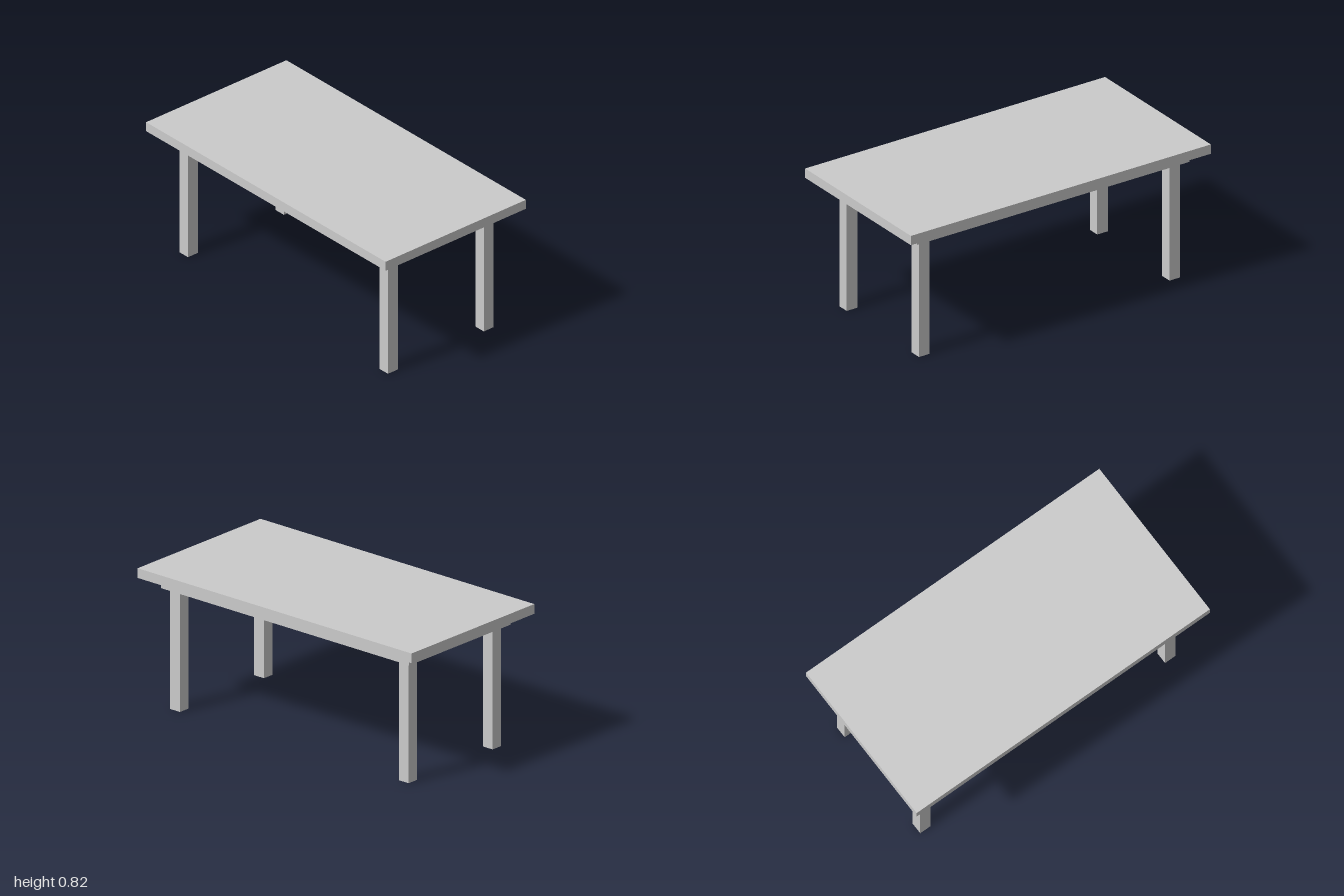
import * as THREE from 'three';

const material = new THREE.MeshStandardMaterial({ color: 0xcccccc, flatShading: true });

// Box given by its extents along each axis
function slab(name, [x0, x1], [y0, y1], [z0, z1]) {
  const mesh = new THREE.Mesh(new THREE.BoxGeometry(x1 - x0, y1 - y0, z1 - z0), material);
  mesh.position.set((x0 + x1) / 2, (y0 + y1) / 2, (z0 + z1) / 2);
  mesh.name = name;
  return mesh;
}

// Rectangle outline in the ground plane (shape y becomes -z once laid flat)
function rectangle(Type, [x0, x1], [z0, z1]) {
  return new Type([[x0, -z1], [x1, -z1], [x1, -z0], [x0, -z0]].map(([x, y]) => new THREE.Vector2(x, y)));
}

export function createModel() {
  const table = new THREE.Group();
  table.name = 'table';
  const apronBottom = 0.71, topBottom = 0.768, height = 0.825;

  table.add(slab('tableTop', [-1, 1], [topBottom, height], [-0.51, 0.51]));

  // Thin frame under the top, enclosing the legs
  const frame = rectangle(THREE.Shape, [-0.912, 0.902], [-0.429, 0.413]);
  frame.holes.push(rectangle(THREE.Path, [-0.876, 0.865], [-0.393, 0.375]));
  const apronGeometry = new THREE.ExtrudeGeometry(frame, { depth: topBottom - apronBottom, bevelEnabled: false });
  apronGeometry.rotateX(-Math.PI / 2);
  const apron = new THREE.Mesh(apronGeometry, material);
  apron.position.y = apronBottom;
  apron.name = 'apron';
  table.add(apron);

  // Square legs in the inner corners of the frame
  for (const [side, x] of [['Right', [-0.876, -0.805]], ['Left', [0.794, 0.865]]]) {
    for (const [end, z] of [['front', [0.304, 0.375]], ['back', [-0.393, -0.322]]]) {
      table.add(slab(`${end}${side}Leg`, x, [0, topBottom], z));
    }
  }
  return table;
}
